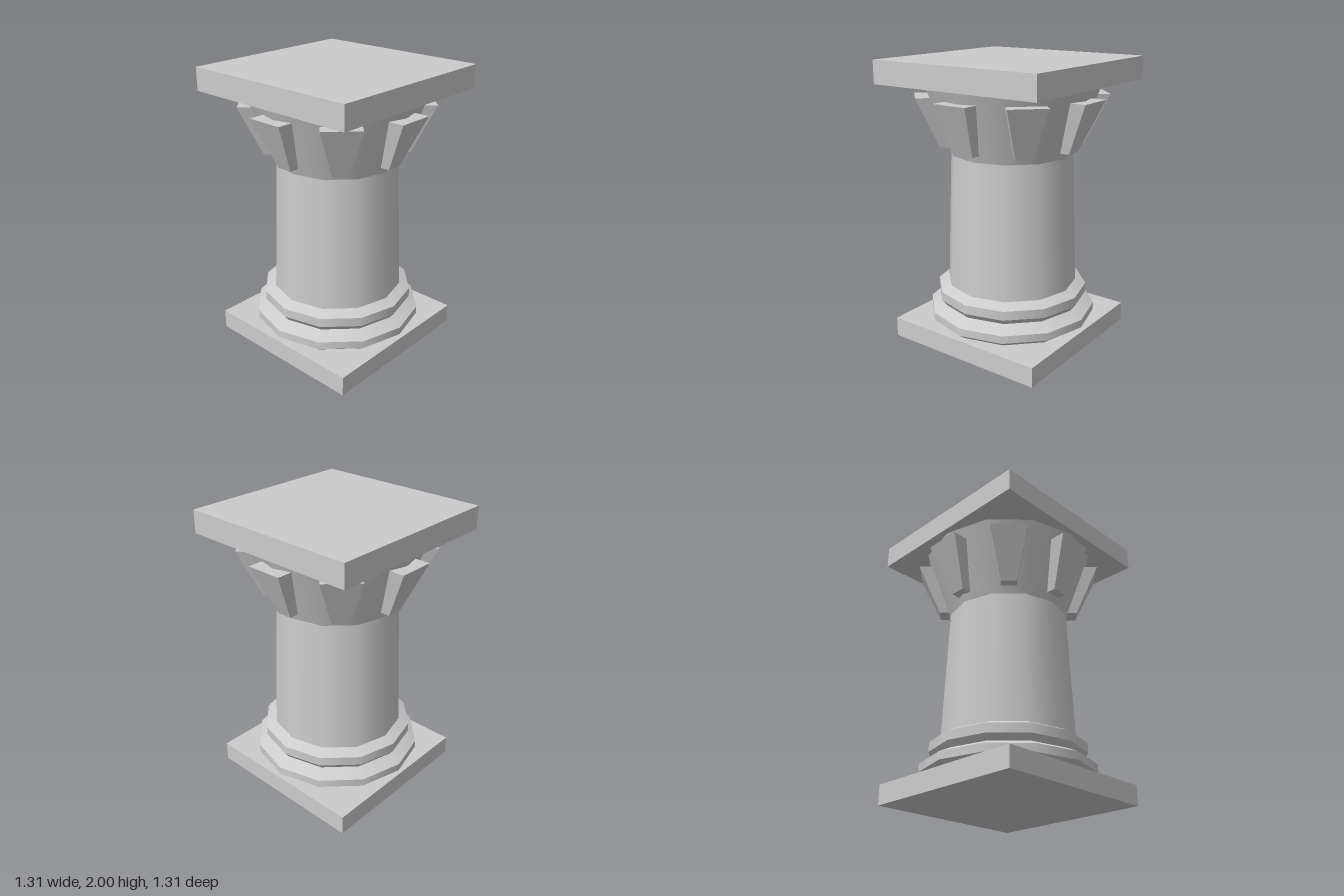
import * as THREE from 'three';

export function createModel() {
  const group = new THREE.Group();
  group.name = 'column';
  const stone = new THREE.MeshStandardMaterial({ color: 0xcccccc });
  stone.name = 'stone grey';

  const add = (name, geometry, y = 0) => {
    const mesh = new THREE.Mesh(geometry, stone);
    mesh.name = name;
    mesh.position.y = y;
    group.add(mesh);
    return mesh;
  };

  // Square slabs at the foot and the top
  add('plinth', new THREE.BoxGeometry(1.2, 0.14, 1.2), 0.07);
  add('abacus', new THREE.BoxGeometry(1.3, 0.16, 1.3), 1.92);

  // Twelve-sided bands, smooth around and sharp where they meet: [radius, y]
  const profile = [
    [0.545, 0.14], [0.6, 0.18], [0.6, 0.235], [0.508, 0.28],
    [0.54, 0.32], [0.54, 0.385], [0.465, 0.42], [0.428, 1.36], [0.613, 1.84],
  ];
  const names = [
    'lowerRingUnderside', 'lowerRing', 'lowerRingTop', 'upperRingUnderside',
    'upperRing', 'upperRingTop', 'shaft', 'capital',
  ];
  names.forEach((name, i) => {
    const [r0, y0] = profile[i];
    const [r1, y1] = profile[i + 1];
    add(name, new THREE.CylinderGeometry(r1, r0, y1 - y0, 12, 1, true), (y0 + y1) / 2);
  });

  // Tapered leaf: a box reshaped to lean outward and widen upward
  const leaf = new THREE.BoxGeometry(1, 1, 1);
  const p = leaf.attributes.position;
  for (let i = 0; i < p.count; i++) {
    const top = p.getY(i) > 0;
    const outer = p.getZ(i) > 0;
    p.setXYZ(
      i,
      Math.sign(p.getX(i)) * (top ? 0.13 : 0.055),
      top ? 1.76 : 1.41,
      outer ? (top ? 0.657 : 0.5) : (top ? 0.48 : 0.43),
    );
  }
  leaf.computeVertexNormals();

  // Eight leaves around the capital
  for (let i = 0; i < 8; i++) {
    add('leaf' + (i + 1), leaf).rotation.y = (i * Math.PI) / 4;
  }
  return group;
}
